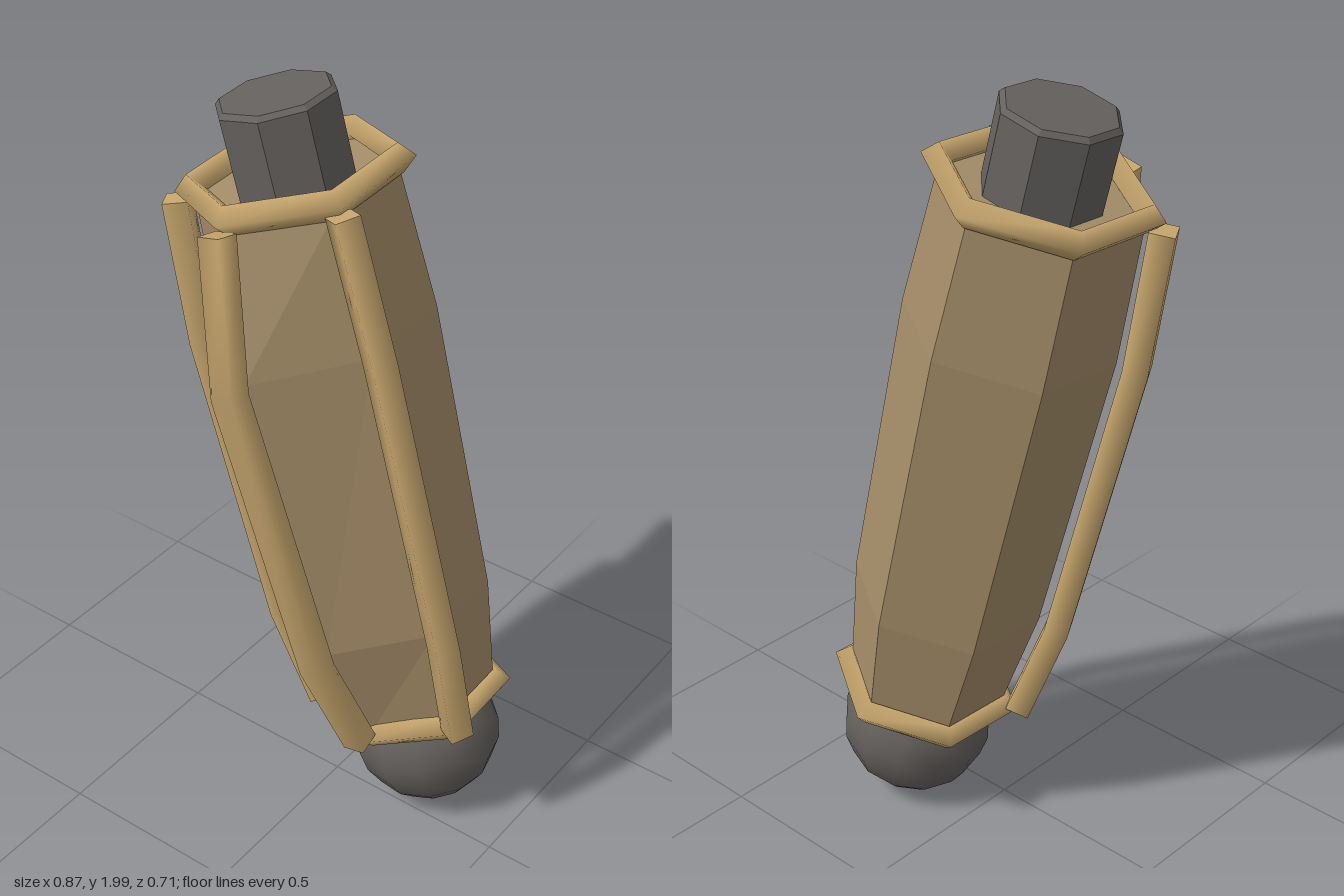
import * as THREE from 'three';

const bodyMat = new THREE.MeshStandardMaterial({ color: 0xa58d69 });
bodyMat.name = 'dullTan';
const trimMat = new THREE.MeshStandardMaterial({ color: 0xc8a76e });
trimMat.name = 'paleTan';
const darkMat = new THREE.MeshStandardMaterial({ color: 0x65615e });
darkMat.name = 'darkGrey';

// Closed skin over matching cross-sections, listed from bottom to top
function loft(sections, flat) {
  const n = sections[0].length, last = sections.length - 1, idx = [];
  const pts = sections.flat();
  for (let j = 0; j < last; j++) {
    for (let i = 0; i < n; i++) {
      const a = j * n + i, b = j * n + (i + 1) % n;
      idx.push(a, a + n, b, b, a + n, b + n);
    }
  }
  // separate vertices for the end caps keep their edges sharp
  const low = pts.length, high = low + n;
  pts.push(...sections[0], ...sections[last]);
  for (let i = 1; i < n - 1; i++) {
    idx.push(low, low + i, low + i + 1, high, high + i + 1, high + i);
  }
  let geo = new THREE.BufferGeometry().setFromPoints(pts);
  geo.setIndex(idx);
  if (flat) geo = geo.toNonIndexed();
  geo.computeVertexNormals();
  return geo;
}

// Hexagonal casing: height, corner radius, front corner radius
function casing() {
  const levels = [[0.13, 0.205, 0.215], [0.44, 0.245, 0.29], [1.235, 0.262, 0.326], [1.6, 0.242, 0.247]];
  return loft(levels.map(([y, r, front]) => {
    const ring = [];
    for (let i = 0; i < 6; i++) {
      const a = Math.PI / 6 + i * Math.PI / 3;
      const rr = i === 1 ? front : r;
      ring.push(new THREE.Vector3(Math.cos(a) * rr, y, Math.sin(a) * rr));
    }
    return ring;
  }), true);
}

// Square bar bent along a (height, radius) path in the radial plane at an angle
function bar(angle, path) {
  const w = 0.031, c = Math.cos(angle), s = Math.sin(angle);
  return loft(path.map(([y, r], i) => {
    const p = path[Math.max(i - 1, 0)], q = path[Math.min(i + 1, path.length - 1)];
    const len = Math.hypot(q[0] - p[0], q[1] - p[1]);
    const out = (q[0] - p[0]) / len, up = -(q[1] - p[1]) / len;
    return [[1, 1], [-1, 1], [-1, -1], [1, -1]].map(([e, t]) => {
      const rr = r + e * w * out;
      return new THREE.Vector3(c * rr - s * t * w, y + e * w * up, s * rr + c * t * w);
    });
  }), false);
}

export function createModel() {
  const model = new THREE.Group();
  model.name = 'limbSegment';

  // Everything is built along a leaning axis that starts at the ball joint
  const limb = new THREE.Group();
  limb.name = 'leaningLimb';
  limb.position.set(0.215, 0.2, -0.11);
  limb.quaternion.setFromUnitVectors(
    new THREE.Vector3(0, 1, 0), new THREE.Vector3(-0.415, 1.78, 0.08).normalize());
  model.add(limb);

  const add = (name, geo, mat) => {
    const mesh = new THREE.Mesh(geo, mat);
    mesh.name = name;
    limb.add(mesh);
    return mesh;
  };

  add('ballJoint', new THREE.SphereGeometry(0.197, 12, 10), darkMat);
  add('casing', casing(), bodyMat);

  // Octagonal peg with a small bevel at the top
  const profile = [[0, 1.45], [0.147, 1.45], [0.147, 1.803], [0.135, 1.815], [0, 1.815]];
  const peg = new THREE.LatheGeometry(profile.map(p => new THREE.Vector2(...p)), 8, Math.PI / 8).toNonIndexed();
  peg.computeVertexNormals();
  add('topPeg', peg, darkMat);

  // Hexagonal rims around both ends
  for (const [name, y, r] of [['topRim', 1.617, 0.25], ['bottomRim', 0.13, 0.214]]) {
    const rim = new THREE.TorusGeometry(r, 0.037, 4, 6);
    rim.rotateZ(Math.PI / 6).rotateX(Math.PI / 2);
    add(name, rim, trimMat).position.y = y;
  }

  // Three bars over the front corners
  const side = [[0.14, 0.255], [0.43, 0.297], [1.235, 0.311], [1.6, 0.285]];
  const front = [[0.14, 0.255], [0.43, 0.335], [1.235, 0.378], [1.6, 0.287]];
  add('leftBar', bar(Math.PI / 6, side), trimMat);
  add('frontBar', bar(Math.PI / 2, front), trimMat);
  add('rightBar', bar(Math.PI * 5 / 6, side), trimMat);

  return model;
}
